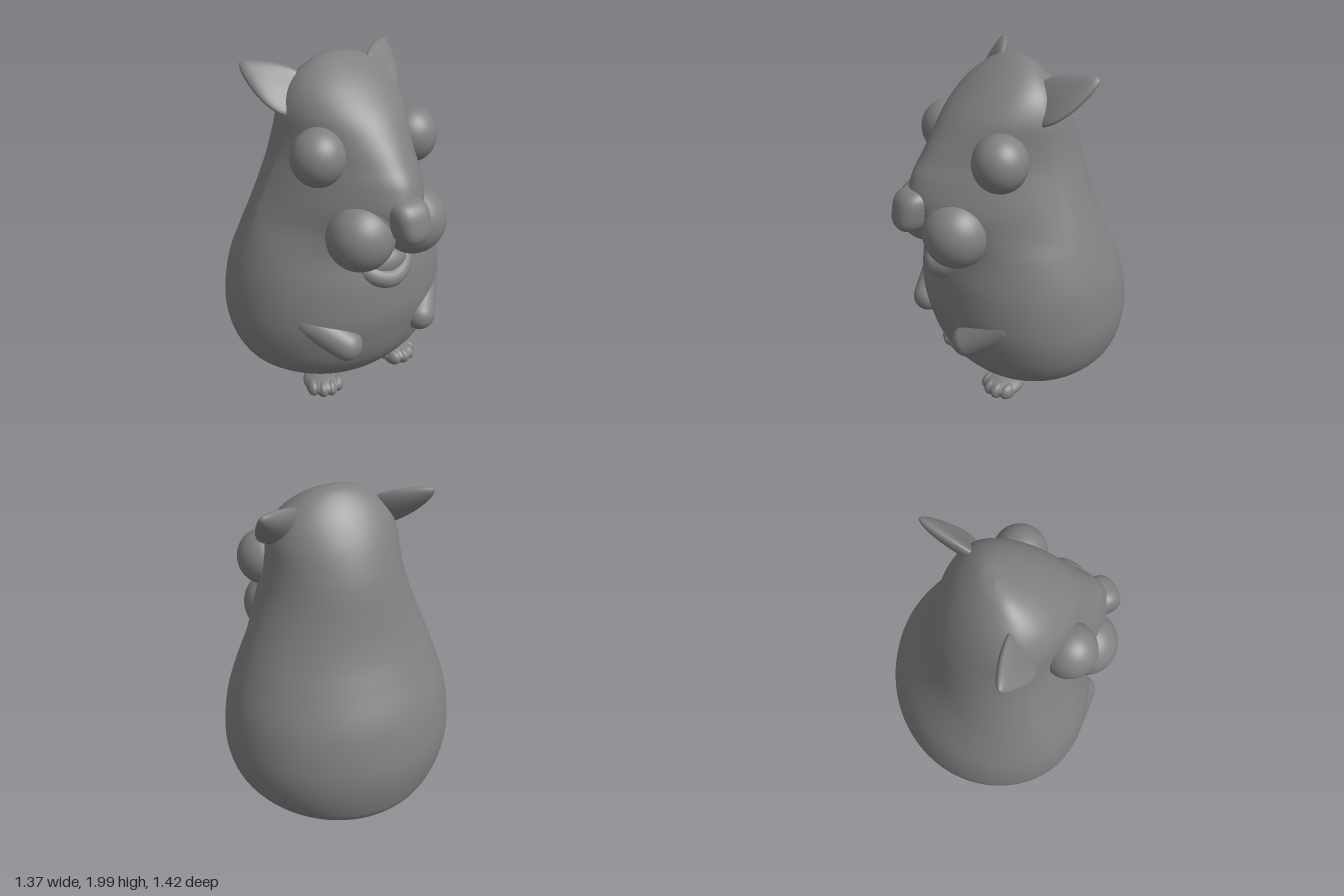
import * as THREE from 'three';

const material = new THREE.MeshStandardMaterial({ color: 0x808080 });
const V = (x, y, z) => new THREE.Vector3(x, y, z);

function add(parent, name, geometry) {
  const mesh = new THREE.Mesh(geometry, material);
  mesh.name = name;
  parent.add(mesh);
  return mesh;
}

function ellipsoid(parent, name, center, radii, detail = 32) {
  const mesh = add(parent, name, new THREE.SphereGeometry(1, detail, detail * 0.75));
  mesh.position.set(...center);
  mesh.scale.set(...radii);
  return mesh;
}

// Move every vertex by a rule and refresh the normals
function reshape(geometry, rule) {
  const pos = geometry.attributes.position;
  const v = V(0, 0, 0);
  for (let i = 0; i < pos.count; i++) {
    v.fromBufferAttribute(pos, i);
    rule(v);
    pos.setXYZ(i, v.x, v.y, v.z);
  }
  geometry.computeVertexNormals();
  return geometry;
}

// Body and head in one skin. Rows: height, half width, z of widest point,
// z of back, z of front, and how far the front is pinched into a snout
const rows = [
  [0.04, 0, -0.08, -0.08, -0.08, 0],
  [0.045, 0.2, -0.08, -0.28, 0.1, 0],
  [0.09, 0.39, -0.08, -0.5, 0.25, 0],
  [0.19, 0.55, -0.08, -0.635, 0.36, 0],
  [0.3, 0.635, -0.08, -0.68, 0.43, 0],
  [0.45, 0.68, -0.08, -0.703, 0.475, 0],
  [0.6, 0.685, -0.08, -0.695, 0.5, 0],
  [0.8, 0.655, -0.08, -0.645, 0.49, 0],
  [1.0, 0.59, -0.07, -0.553, 0.46, 0.05],
  [1.13, 0.54, -0.06, -0.495, 0.52, 0.26],
  [1.26, 0.487, -0.05, -0.452, 0.62, 0.46],
  [1.4, 0.435, -0.03, -0.418, 0.592, 0.48],
  [1.5, 0.405, -0.02, -0.395, 0.525, 0.4],
  [1.6, 0.385, -0.01, -0.365, 0.455, 0.28],
  [1.73, 0.365, -0.01, -0.31, 0.355, 0.12],
  [1.84, 0.315, -0.02, -0.245, 0.24, 0.03],
  [1.92, 0.235, -0.03, -0.18, 0.135, 0],
  [1.98, 0.125, -0.04, -0.11, 0.025, 0],
  [2.0, 0, -0.05, -0.05, -0.05, 0],
];

function bodyGeometry(around = 96, up = 120) {
  const spline = (pick) => new THREE.CatmullRomCurve3(rows.map(pick), false, 'catmullrom', 0.5);
  const sides = spline((r) => V(r[1], r[0], r[2]));
  const depths = spline((r) => V(r[3], r[4], r[5]));
  const positions = [], index = [];
  for (let j = 0; j <= up; j++) {
    const s = sides.getPoint(j / up), d = depths.getPoint(j / up);
    for (let i = 0; i < around; i++) {
      const a = (i / around) * Math.PI * 2, sin = Math.sin(a);
      const front = Math.max(sin, 0);
      // A pinched front is also blunter
      const z = sin > 0 ? (d.y - s.z) * front ** (1 - 0.6 * d.z) : (s.z - d.x) * sin;
      positions.push(s.x * Math.cos(a) * (1 - d.z * front ** 0.9), s.y, s.z + z);
      if (j === up) continue;
      const n = (i + 1) % around, p = j * around;
      index.push(p + i, p + around + i, p + n, p + n, p + around + i, p + around + n);
    }
  }
  const geometry = new THREE.BufferGeometry();
  geometry.setAttribute('position', new THREE.Float32BufferAttribute(positions, 3));
  geometry.setIndex(index);
  geometry.computeVertexNormals();
  return geometry;
}

// Rounded block, a little narrower toward the bottom
function noseGeometry() {
  const round = (t) => Math.sign(t) * Math.abs(t) ** 0.7;
  return reshape(new THREE.SphereGeometry(1, 36, 28), (v) => {
    const y = round(v.y);
    v.set(round(v.x) * 0.118 * (0.9 + 0.1 * y), y * 0.12, round(v.z) * 0.12 - 0.025 * y);
  });
}

// Leaf-shaped ear: x runs to the tip, y across, z through the cupped thickness
function earGeometry() {
  return reshape(new THREE.SphereGeometry(1, 36, 28), (v) => {
    const across = v.y * (1 - 0.45 * v.x);
    v.set(v.x * 0.21, across * 0.12, v.z * 0.042 + 0.025 * across * across - 0.012);
  });
}

function buildSide(group) {
  ellipsoid(group, 'eye', [0.31, 1.535, 0.23], [0.153, 0.16, 0.152], 40);
  ellipsoid(group, 'cheek', [0.18, 1.12, 0.43], [0.192, 0.195, 0.188], 40);

  // Ear leans outward, up and back
  const along = V(0.18, 0.16, -0.18).normalize();
  const normal = along.clone().cross(V(-0.11, 0.2, -0.11)).normalize();
  const across = normal.clone().cross(along);
  const ear = add(group, 'ear', earGeometry());
  ear.quaternion.setFromRotationMatrix(new THREE.Matrix4().makeBasis(along, across, normal));
  ear.position.set(0.364, 1.855, -0.108);

  // Arm emerges from the belly and ends in a raised paw
  const shoulder = V(0.43, 0.6, 0.26), hand = V(0.27, 0.457, 0.427);
  const reach = hand.clone().sub(shoulder);
  const arm = add(group, 'arm', new THREE.CapsuleGeometry(0.093, reach.length(), 12, 28));
  arm.position.copy(shoulder).lerp(hand, 0.5);
  arm.quaternion.setFromUnitVectors(V(0, 1, 0), reach.normalize());

  // Foot with four short toes, turned outward
  const foot = new THREE.Group();
  foot.name = 'foot';
  foot.position.set(0.275, 0, 0.19);
  foot.rotation.y = 0.3;
  group.add(foot);
  ellipsoid(foot, 'sole', [0, 0.066, 0], [0.118, 0.056, 0.13]);
  for (let i = 0; i < 4; i++) {
    const x = (i - 1.5) * 0.05;
    ellipsoid(foot, 'toe', [x, 0.06, 0.08 - x * x * 6], [0.038, 0.05, 0.06], 16);
  }
}

export function createModel() {
  const model = new THREE.Group();
  model.name = 'rodent';
  add(model, 'body', bodyGeometry());
  add(model, 'nose', noseGeometry()).position.set(0, 1.235, 0.59);
  ellipsoid(model, 'muzzle', [0, 1.22, 0.43], [0.235, 0.18, 0.17], 40);

  // Lower lip curving under the cheeks
  const lip = new THREE.CatmullRomCurve3([
    V(-0.15, 0.9, 0.4), V(-0.08, 0.85, 0.455), V(0, 0.83, 0.475), V(0.08, 0.85, 0.455), V(0.15, 0.9, 0.4),
  ]);
  add(model, 'lowerLip', new THREE.TubeGeometry(lip, 40, 0.058, 20));
  ellipsoid(model, 'chin', [0, 0.91, 0.41], [0.15, 0.09, 0.09]);

  for (const side of [1, -1]) {
    const half = new THREE.Group();
    half.name = side > 0 ? 'leftSide' : 'rightSide';
    half.scale.x = side;
    buildSide(half);
    model.add(half);
  }
  return model;
}
